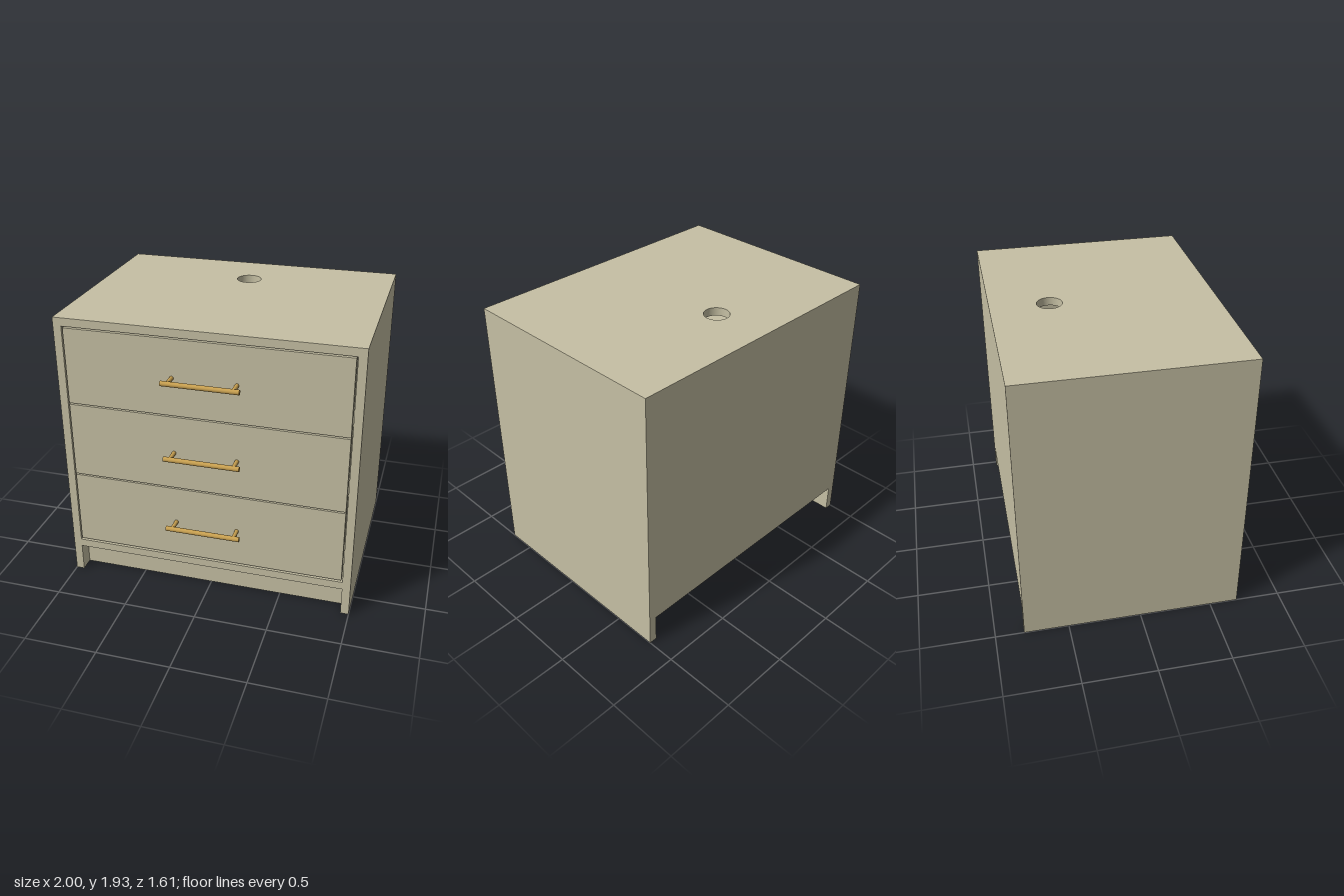
import * as THREE from 'three';

export function createModel() {
  const model = new THREE.Group();
  model.name = 'drawerCabinet';
  const paint = new THREE.MeshStandardMaterial({ color: 0xc6c0a4 });
  const brass = new THREE.MeshStandardMaterial({ color: 0xc8a050 });

  const H = 1.935, T = 0.056, FRONT = 0.695, BACK = -0.805, FLOOR = 0.2;
  const INNER = 1 - T;

  // Box given by its minimum and maximum corners
  function panel(parent, name, [x0, y0, z0], [x1, y1, z1]) {
    const mesh = new THREE.Mesh(new THREE.BoxGeometry(x1 - x0, y1 - y0, z1 - z0), paint);
    mesh.position.set((x0 + x1) / 2, (y0 + y1) / 2, (z0 + z1) / 2);
    mesh.name = name;
    parent.add(mesh);
  }

  // Carcass
  const carcass = new THREE.Group();
  carcass.name = 'carcass';
  model.add(carcass);
  panel(carcass, 'leftSide', [INNER, 0, BACK], [1, H, FRONT]);
  panel(carcass, 'rightSide', [-1, 0, BACK], [-INNER, H, FRONT]);
  panel(carcass, 'bottomPanel', [-INNER, FLOOR, BACK], [INNER, FLOOR + T, FRONT]);
  panel(carcass, 'backPanel', [-INNER, FLOOR + T, BACK], [INNER, H - T, BACK + T]);
  panel(carcass, 'toeKick', [-INNER, 0, FRONT - 0.1 - T], [INNER, FLOOR, FRONT - 0.1]);

  // Top panel with a round cable hole
  const topShape = new THREE.Shape([
    new THREE.Vector2(-INNER, -FRONT), new THREE.Vector2(INNER, -FRONT),
    new THREE.Vector2(INNER, -BACK), new THREE.Vector2(-INNER, -BACK),
  ]);
  topShape.holes.push(new THREE.Path().absarc(0, 0.41, 0.085, 0, Math.PI * 2, true));
  const topGeometry = new THREE.ExtrudeGeometry(topShape, { depth: T, bevelEnabled: false, curveSegments: 40 });
  topGeometry.rotateX(-Math.PI / 2);
  const top = new THREE.Mesh(topGeometry, paint);
  top.position.y = H - T;
  top.name = 'topPanel';
  carcass.add(top);

  // Bar handle on two posts, centred on the drawer front
  function createHandle() {
    const handle = new THREE.Group();
    handle.name = 'handle';
    const bar = new THREE.Mesh(new THREE.CylinderGeometry(0.017, 0.017, 0.51, 32), brass);
    bar.rotation.z = Math.PI / 2;
    bar.position.z = 0.093;
    bar.name = 'handleBar';
    handle.add(bar);
    for (const side of [-1, 1]) {
      const post = new THREE.Mesh(new THREE.CylinderGeometry(0.014, 0.014, 0.093, 32), brass);
      post.rotation.x = Math.PI / 2;
      post.position.set(side * 0.213, 0, 0.0465);
      post.name = 'handlePost';
      handle.add(post);
    }
    return handle;
  }

  // Three flush drawers with open boxes behind their fronts
  const drawerHeight = 0.526, halfWidth = 0.935;
  for (let i = 0; i < 3; i++) {
    const drawer = new THREE.Group();
    drawer.name = 'drawer';
    drawer.position.y = 0.534 + i * 0.536;
    const h = drawerHeight / 2, boxTop = h - 0.1, boxBase = 0.04 - h;
    const boxBack = BACK + T + 0.06, boxFront = FRONT - T, side = 0.9, t = 0.03;
    panel(drawer, 'drawerFront', [-halfWidth, -h, boxFront], [halfWidth, h, FRONT]);
    panel(drawer, 'drawerBase', [-side, boxBase, boxBack], [side, boxBase + t, boxFront]);
    panel(drawer, 'drawerBack', [-side + t, boxBase + t, boxBack], [side - t, boxTop, boxBack + t]);
    panel(drawer, 'drawerLeft', [side - t, boxBase + t, boxBack], [side, boxTop, boxFront]);
    panel(drawer, 'drawerRight', [-side, boxBase + t, boxBack], [-side + t, boxTop, boxFront]);
    const handle = createHandle();
    handle.position.z = FRONT;
    drawer.add(handle);
    model.add(drawer);
  }
  return model;
}
